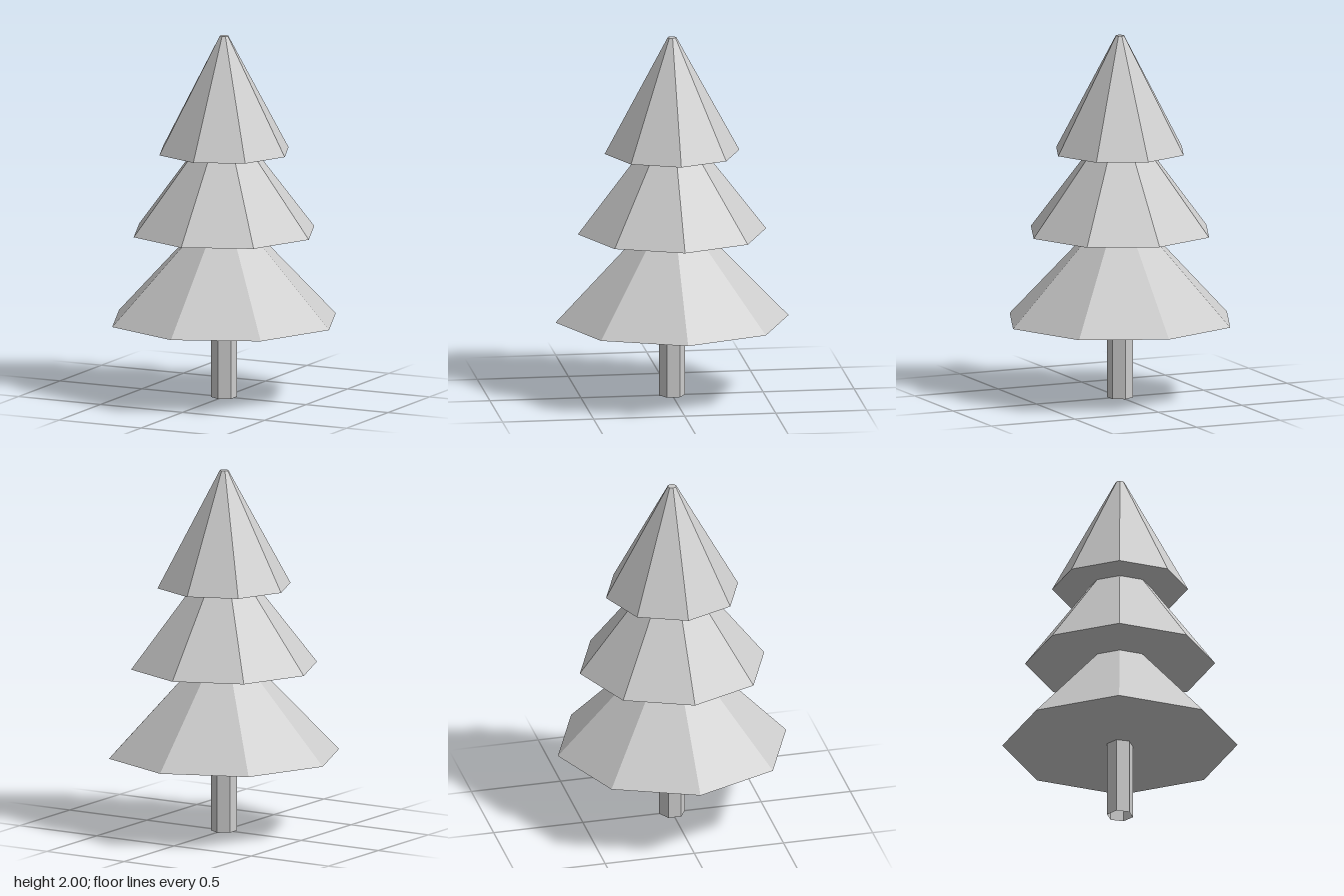
import * as THREE from 'three';

export function createModel() {
  const group = new THREE.Group();
  group.name = 'tree';

  const paleGrey = new THREE.MeshStandardMaterial({ color: 0xcccccc, flatShading: true, side: THREE.DoubleSide });
  paleGrey.name = 'pale grey';

  // Tapered or straight prism standing between two heights
  function addPrism(name, rTop, rBottom, y0, y1, sides, open = false) {
    const geometry = new THREE.CylinderGeometry(rTop, rBottom, y1 - y0, sides, 1, open);
    const mesh = new THREE.Mesh(geometry, paleGrey);
    mesh.position.y = (y0 + y1) / 2;
    mesh.name = name;
    group.add(mesh);
  }

  // Hexagonal trunk, open at the foot
  addPrism('trunk', 0.072, 0.072, 0, 0.425, 6, true);

  // Eight-sided foliage tiers, each tip hidden inside the tier above
  addPrism('lowerFoliage', 0.025, 0.64, 0.425, 1.07, 8);
  addPrism('middleFoliage', 0.025, 0.517, 0.915, 1.556, 8);
  addPrism('upperFoliage', 0.024, 0.37, 1.36, 2, 8);

  return group;
}
